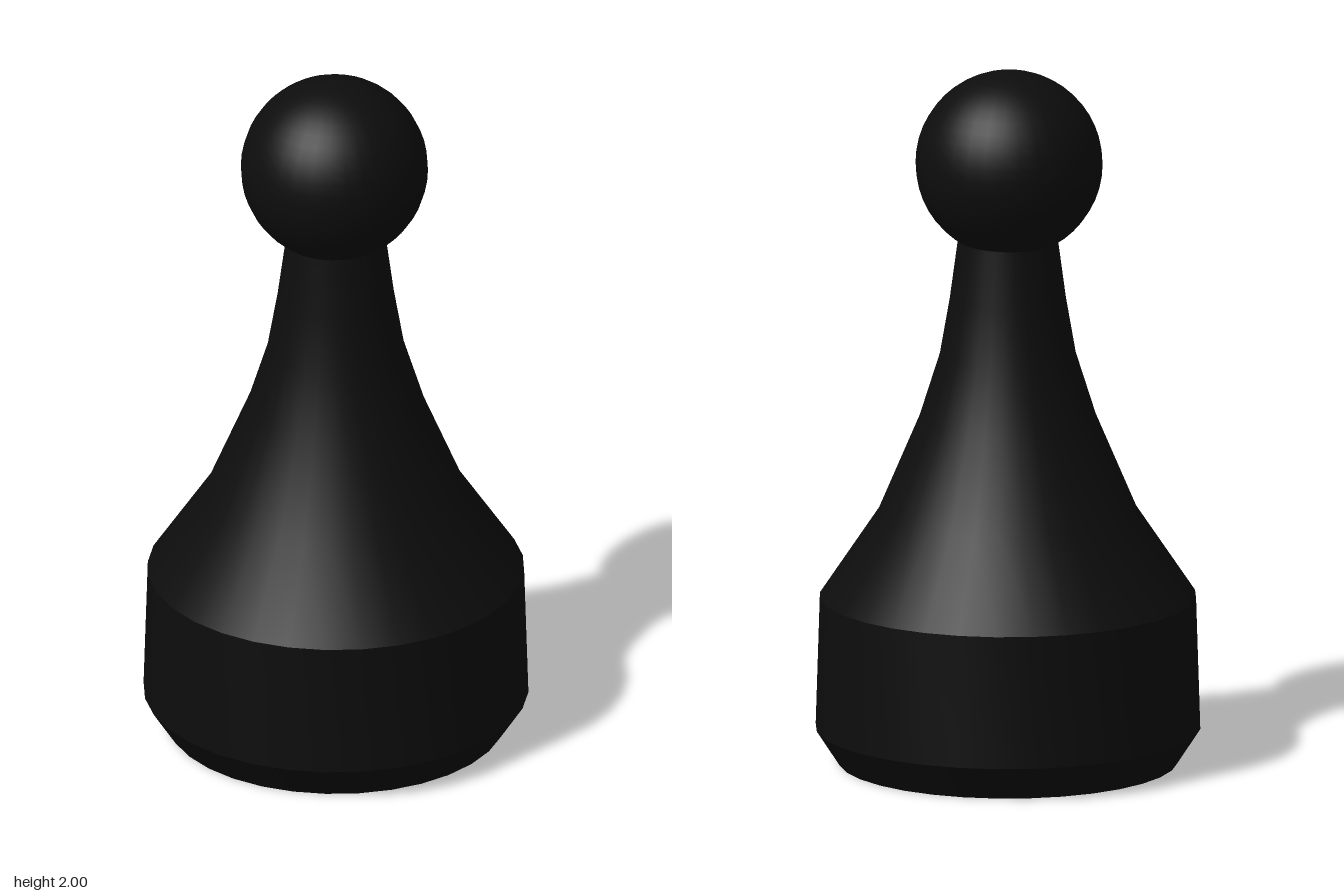
import * as THREE from 'three';
import { toCreasedNormals } from 'three/addons/utils/BufferGeometryUtils.js';

export function createModel() {
  const group = new THREE.Group();
  group.name = 'gamePawn';

  const black = new THREE.MeshStandardMaterial({ color: 0x0d0d0d });
  black.name = 'black';

  // Turned body: chamfered foot, straight band, shoulder and tapering neck
  const profile = [
    [0, 0], [0.48, 0], [0.545, 0.1], [0.533, 0.48], [0.365, 0.73],
    [0.25, 1.0], [0.193, 1.18], [0.165, 1.34], [0.142, 1.51], [0.136, 1.56],
  ].map(([r, y]) => new THREE.Vector2(r, y));
  const lathe = new THREE.LatheGeometry(profile, 32);
  const body = new THREE.Mesh(toCreasedNormals(lathe, Math.PI / 6), black);
  body.name = 'body';
  group.add(body);

  // Round head, set very slightly off the axis
  const head = new THREE.Mesh(new THREE.SphereGeometry(0.265, 32, 24), black);
  head.name = 'head';
  head.position.set(-0.002, 1.735, -0.008);
  group.add(head);

  return group;
}
